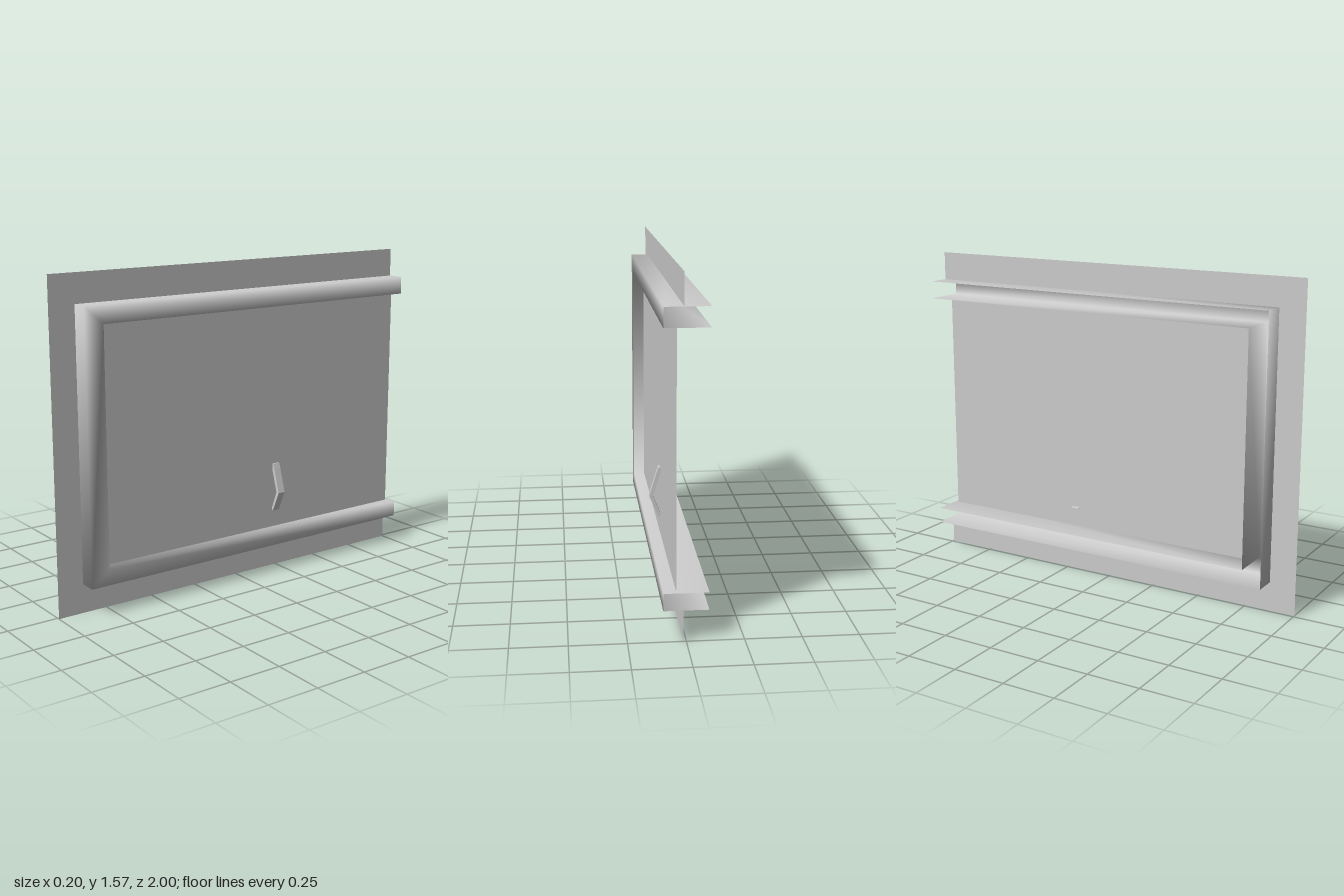
import * as THREE from 'three';

const mat = new THREE.MeshStandardMaterial({ color: 0xcccccc, side: THREE.DoubleSide });

function add(group, name, geometry) {
  const mesh = new THREE.Mesh(geometry, mat);
  mesh.name = name;
  group.add(mesh);
  return mesh;
}

// Flat outline of [z, y] points, standing at a given x and facing +x
function sheet(points, x) {
  const shape = new THREE.Shape(points.map(([z, y]) => new THREE.Vector2(-z, y)));
  return new THREE.ShapeGeometry(shape).rotateY(Math.PI / 2).translate(x, 0, 0);
}

export function createModel() {
  const model = new THREE.Group();
  model.name = 'slidingDoorPanel';

  const back = -1, half = 0.098;
  const outer = { top: 1.434, bottom: 0.14, front: 0.871 };
  const inner = { top: 1.348, bottom: 0.218, front: 0.777 };

  // Three-sided path around the opening, running from the back top to the back bottom
  const path = (r) => [[back, r.top], [r.front, r.top], [r.front, r.bottom], [back, r.bottom]];

  // Wall sheet, cut away where the frame passes through
  add(model, 'wall', sheet([
    [back, 1.573], [1, 1.573], [1, 0], [back, 0],
    ...path(outer).reverse(),
  ], 0.013));

  // Frame: U channel, open towards -x and at its back ends, with softened normals
  const o = path(outer), n = path(inner);
  const positions = [], index = [];
  for (let k = 0; k < 4; k++) {
    for (const [p, x] of [[o[k], -half], [o[k], half], [n[k], half], [n[k], -half]]) {
      positions.push(x, p[1], p[0]);
    }
  }
  for (let k = 0; k < 3; k++) {
    for (let i = 0; i < 3; i++) {
      const a = k * 4 + i, b = a + 4;
      index.push(a, b, a + 1, b, b + 1, a + 1);
    }
  }
  const frame = new THREE.BufferGeometry();
  frame.setAttribute('position', new THREE.Float32BufferAttribute(positions, 3));
  frame.setIndex(index);
  frame.computeVertexNormals();
  add(model, 'frame', frame);

  // Door leaf filling the opening, stopping just short of the back edge
  const leafBack = -0.985;
  add(model, 'doorLeaf', sheet([
    [leafBack, inner.top], [inner.front, inner.top],
    [inner.front, inner.bottom], [leafBack, inner.bottom],
  ], 0.042));

  // Handle: bent strap, its profile in x and y
  const profile = new THREE.Shape([
    [0.042, 0.548], [0.05, 0.548], [0.06, 0.52], [0.095, 0.405], [0.05, 0.303],
    [0.038, 0.309], [0.077, 0.405], [0.042, 0.52],
  ].map(([x, y]) => new THREE.Vector2(x, y)));
  const strap = new THREE.ExtrudeGeometry(profile, { depth: 0.038, bevelEnabled: false });
  add(model, 'handle', strap.translate(0, 0, -0.243));

  return model;
}
